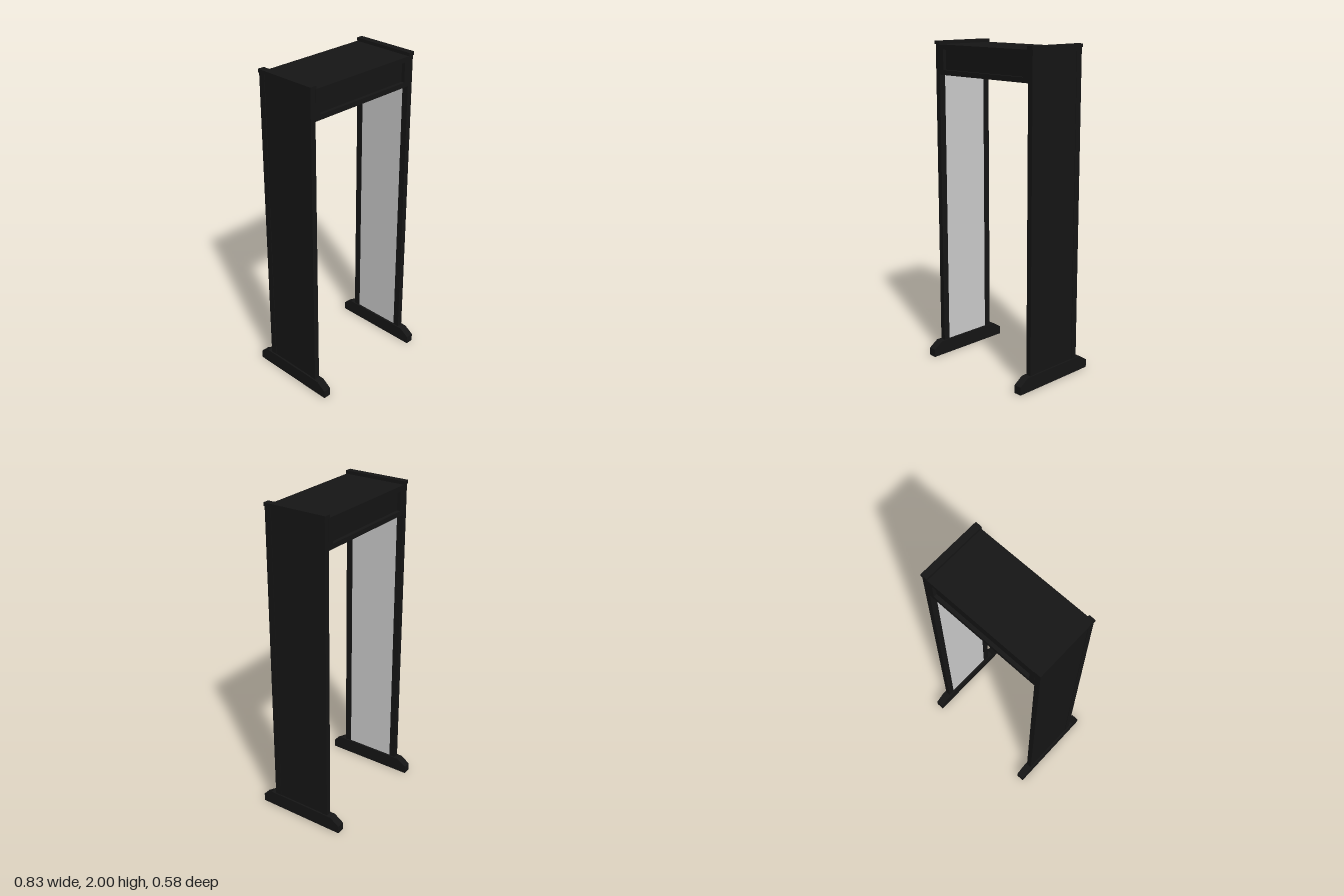
import * as THREE from 'three';

export function createModel() {
  const root = new THREE.Group();
  root.name = 'walkThroughGate';
  const dark = new THREE.MeshStandardMaterial({ color: 0x151515 });
  const grey = new THREE.MeshStandardMaterial({ color: 0xcccccc });

  const add = (parent, name, geo, mat, x, y, z) => {
    const mesh = new THREE.Mesh(geo, mat);
    mesh.name = name;
    mesh.position.set(x, y, z);
    parent.add(mesh);
    return mesh;
  };
  const box = (parent, name, w, h, d, x, y, z, mat = dark) =>
    add(parent, name, new THREE.BoxGeometry(w, h, d), mat, x, y, z);

  // Foot profile in (z, y), with sloped toes at both ends
  const footShape = new THREE.Shape([
    [-0.29, 0], [0.29, 0], [0.29, 0.05], [0.23, 0.09], [-0.23, 0.09], [-0.29, 0.05],
  ].map(([z, y]) => new THREE.Vector2(z, y)));

  // Side pillars: foot, two rails, inset panels and a cap
  for (const s of [-1, 1]) {
    const side = new THREE.Group();
    side.name = s > 0 ? 'leftPillar' : 'rightPillar';
    root.add(side);

    const footGeo = new THREE.ExtrudeGeometry(footShape, { depth: 0.05, bevelEnabled: false });
    footGeo.translate(0, 0, -0.025).rotateY(Math.PI / 2);
    add(side, 'foot', footGeo, dark, s * 0.388, 0, 0);

    for (const f of [-1, 1]) {
      box(side, 'rail', 0.034, 1.89, 0.04, s * 0.388, 1.035, f * 0.18);
    }
    box(side, 'outerPanel', 0.014, 1.89, 0.32, s * 0.395, 1.035, 0);
    box(side, 'innerPanel', 0.012, 1.89, 0.32, s * 0.382, 1.035, 0, grey);
    box(side, 'cap', 0.042, 0.02, 0.41, s * 0.388, 1.99, 0);
  }

  // Header box between the pillars
  const header = new THREE.Group();
  header.name = 'header';
  root.add(header);
  box(header, 'headerBody', 0.742, 0.18, 0.36, 0, 1.89, 0);

  // Raised frame around a recessed panel on the front and back
  const rect = (Path, w, h) => new Path([
    [-w, -h], [w, -h], [w, h], [-w, h],
  ].map(([x, y]) => new THREE.Vector2(x, y)));
  const frameShape = rect(THREE.Shape, 0.371, 0.09);
  frameShape.holes.push(rect(THREE.Path, 0.336, 0.06));
  const frameGeo = new THREE.ExtrudeGeometry(frameShape, { depth: 0.022, bevelEnabled: false });
  for (const f of [-1, 1]) {
    const frame = add(header, f > 0 ? 'frontFrame' : 'backFrame', frameGeo, dark, 0, 1.89, f * 0.18);
    if (f < 0) frame.rotation.y = Math.PI;
  }
  return root;
}
